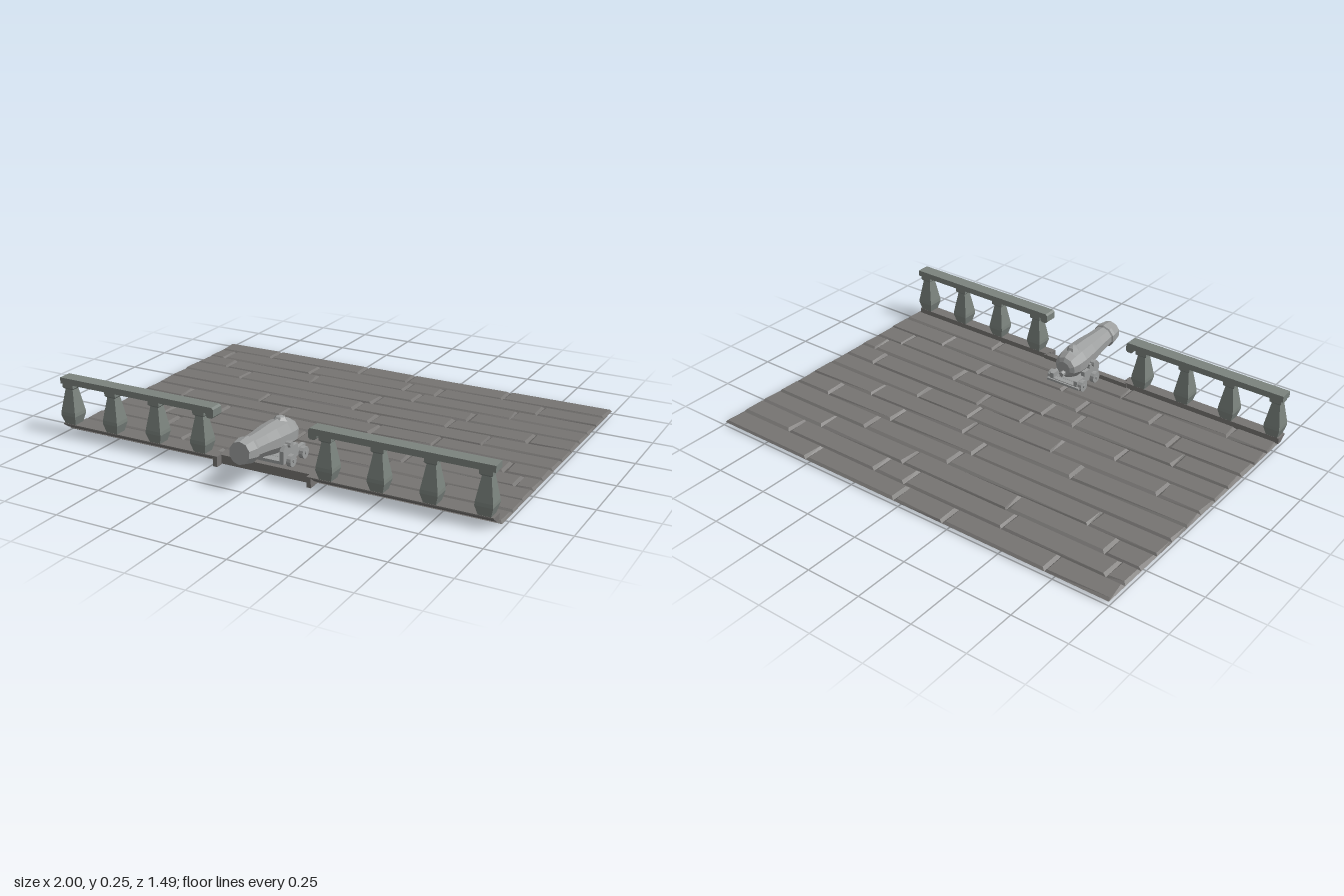
import * as THREE from 'three';

const flat = (color) => new THREE.MeshStandardMaterial({ color, flatShading: true });
const wood = flat(0x767472);
const railPaint = flat(0x7b837e);
const iron = flat(0x9c9e9e);

function add(parent, name, material, geometry, x = 0, y = 0, z = 0) {
  const mesh = new THREE.Mesh(geometry, material);
  mesh.name = name;
  mesh.position.set(x, y, z);
  parent.add(mesh);
}

// Box given by its min and max along each axis
function addBox(parent, name, material, [x0, x1], [y0, y1], [z0, z1]) {
  add(parent, name, material, new THREE.BoxGeometry(x1 - x0, y1 - y0, z1 - z0),
    (x0 + x1) / 2, (y0 + y1) / 2, (z0 + z1) / 2);
}

// Outline of [z, y] points, extruded along x from x0 to x1
function extrudeAlongX(outline, x0, x1) {
  const shape = new THREE.Shape(outline.map(([z, y]) => new THREE.Vector2(-z, y)));
  const geometry = new THREE.ExtrudeGeometry(shape, { depth: x1 - x0, bevelEnabled: false });
  return geometry.rotateY(Math.PI / 2).translate(x0, 0, 0);
}

function group(parent, name) {
  const g = new THREE.Group();
  g.name = name;
  parent.add(g);
  return g;
}

function makeRandom(seed) {
  return () => (seed = (seed * 16807) % 2147483647) / 2147483647;
}

// Rows of planks; each list holds the joints along x
const joints = [
  [-0.71, -0.22, 0.03, 0.515], [-0.91, -0.425, 0.07, 0.23, 0.72], [-0.83, -0.365, 0.17, 0.635],
  [-0.68, 0.02, 0.48], [-0.02, 0.43, 0.8], [-0.445, 0.115, 0.64],
  [-0.79, -0.27, 0.175, 0.46], [-0.52, -0.03, 0.21, 0.825], [-0.73, -0.23, -0.07, 0.43, 0.915],
  [-0.64, -0.175, 0.375, 0.84], [-0.485, -0.02, 0.675], [-0.8, -0.265, 0.46],
];

function buildDeck(parent) {
  const deck = group(parent, 'deck');
  const random = makeRandom(7);
  const pitch = 0.1085;
  joints.forEach((row, r) => {
    const ends = [-0.995, ...row, 0.995];
    for (let i = 0; i < ends.length - 1; i++) {
      const length = ends[i + 1] - ends[i];
      const geometry = new THREE.BoxGeometry(length, 0.012, pitch, 1, 2, 1);
      const p = geometry.attributes.position;
      // Worn bevels: pull each top and bottom corner in, leaving the middle full size
      const insets = Array.from({ length: 4 }, () => [0.005 + 0.012 * random(), 0.005 + 0.009 * random()]);
      for (let v = 0; v < p.count; v++) {
        const level = Math.sign(Math.round(p.getY(v) * 1000));
        if (level === 0) {
          p.setY(v, -0.003);
          continue;
        }
        const sx = Math.sign(p.getX(v)), sz = Math.sign(p.getZ(v));
        const [ix, iz] = insets[(sx > 0 ? 1 : 0) + (sz > 0 ? 2 : 0)];
        const amount = level > 0 ? 1 : 0.7;
        p.setX(v, p.getX(v) - sx * ix * amount);
        p.setZ(v, p.getZ(v) - sz * iz * amount);
      }
      geometry.computeVertexNormals();
      add(deck, 'plank', wood, geometry, ends[i] + length / 2, 0.016, -0.744 + pitch * (r + 0.5));
    }
  });
}

// Square baluster: half width and height pairs
function balusterGeometry() {
  const profile = [[0, 0.04], [0.025, 0.04], [0.037, 0.085], [0.036, 0.1], [0.019, 0.2], [0.027, 0.208], [0.027, 0.225], [0, 0.225]];
  const points = profile.map(([w, y]) => new THREE.Vector2(w * Math.SQRT2, y));
  return new THREE.LatheGeometry(points, 4).rotateY(Math.PI / 4);
}

function buildRailing(parent, name, x0, x1, posts) {
  const railing = group(parent, name);
  const sign = Math.sign(x0 + x1);
  // Handrail profile with the inner end curling down
  const outer = sign > 0 ? x1 : -x0;
  const inner = sign > 0 ? x0 : -x1;
  const shape = new THREE.Shape([
    [outer, 0.225], [outer, 0.252], [inner + 0.008, 0.252], [inner, 0.244], [inner, 0.214],
    [inner + 0.008, 0.206], [inner + 0.028, 0.206], [inner + 0.036, 0.214], [inner + 0.038, 0.225],
  ].map(([x, y]) => new THREE.Vector2(x * sign, y)));
  add(railing, 'handrail', railPaint, new THREE.ExtrudeGeometry(shape, { depth: 0.06, bevelEnabled: false }), 0, 0, 0.532);
  for (const x of posts) add(railing, 'baluster', railPaint, balusterGeometry(), x, 0, 0.562);
  // Curb under the balusters, undercut towards the deck edge
  const curb = [[0.535, 0.018], [0.535, 0.045], [0.59, 0.045], [0.59, 0.04], [0.56, 0.018]].reverse();
  add(railing, 'curb', wood, extrudeAlongX(curb, x0, x1));
  // Bracket at the edge of the gun port
  const edge = sign * inner;
  addBox(railing, 'gunPortBracket', wood, [edge - 0.01, edge + 0.01], [0, 0.045], [0.556, 0.59]);
}

function buildCannon(parent) {
  const cannon = group(parent, 'cannon');
  cannon.position.x = -0.015;

  // Barrel: radius and distance from the breech, turned towards +z
  const profile = [
    [0, 0], [0.034, 0], [0.052, 0.012], [0.064, 0.045], [0.068, 0.09], [0.064, 0.17], [0.055, 0.24],
    [0.049, 0.315], [0.055, 0.32], [0.056, 0.335], [0.047, 0.382], [0, 0.382],
  ].map(([r, d]) => new THREE.Vector2(r, d));
  const barrel = group(cannon, 'barrel');
  barrel.position.set(0, 0.124, 0.36);
  barrel.rotation.x = -0.085;
  add(barrel, 'tube', iron, new THREE.LatheGeometry(profile, 10).rotateX(Math.PI / 2));
  add(barrel, 'breechKnob', iron, new THREE.CylinderGeometry(0.012, 0.012, 0.025, 6).rotateX(Math.PI / 2), 0, -0.022, -0.008);
  add(barrel, 'topDome', iron, new THREE.SphereGeometry(0.035, 6, 5), 0, 0.045, 0.078);

  // Stepped carriage cheeks, mirrored
  const cheek = [
    [0.36, 0.045], [0.535, 0.045], [0.535, 0.1], [0.515, 0.122], [0.46, 0.122],
    [0.46, 0.1], [0.42, 0.1], [0.42, 0.078], [0.36, 0.078],
  ];
  const carriage = group(cannon, 'carriage');
  for (const side of [-1, 1]) {
    add(carriage, 'cheek', iron, extrudeAlongX(cheek, -0.009, 0.009), side * 0.064);
    for (const z of [0.39, 0.488]) {
      add(carriage, 'wheel', iron, new THREE.CylinderGeometry(0.026, 0.026, 0.02, 12).rotateZ(Math.PI / 2), side * 0.082, 0.05, z);
    }
  }
  addBox(carriage, 'bed', iron, [-0.06, 0.06], [0.04, 0.055], [0.36, 0.53]);
  addBox(carriage, 'rearStep', iron, [-0.085, 0.085], [0.042, 0.052], [0.352, 0.39]);
  add(carriage, 'trunnion', iron, new THREE.CylinderGeometry(0.014, 0.014, 0.17, 8).rotateZ(Math.PI / 2), 0, 0.118, 0.488);
  for (const z of [0.39, 0.488]) {
    add(carriage, 'axle', iron, new THREE.CylinderGeometry(0.008, 0.008, 0.195, 8).rotateZ(Math.PI / 2), 0, 0.05, z);
  }
}

export function createModel() {
  const model = new THREE.Group();
  model.name = 'shipDeck';
  buildDeck(model);
  buildRailing(model, 'rightRailing', -1, -0.23, [-0.965, -0.745, -0.525, -0.305]);
  buildRailing(model, 'leftRailing', 0.203, 0.975, [0.275, 0.497, 0.717, 0.936]);

  // Gun port sill between the two railings
  addBox(model, 'gunPortSill', wood, [-0.24, 0.215], [0.004, 0.042], [0.53, 0.558]);

  buildCannon(model);
  return model;
}
